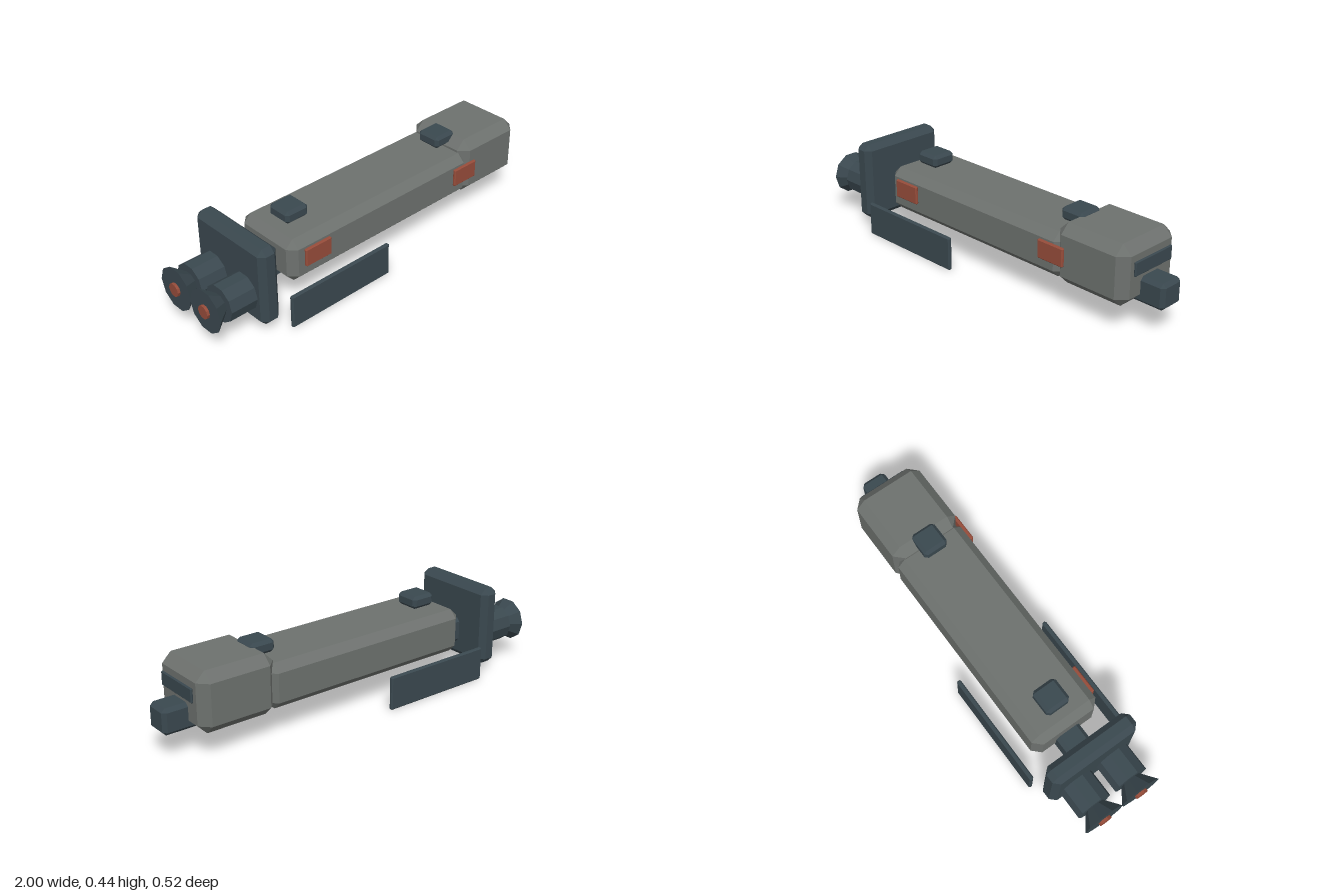
import * as THREE from 'three';
import { ConvexGeometry } from 'three/addons/geometries/ConvexGeometry.js';

const mat = (name, color) => {
  const m = new THREE.MeshStandardMaterial({ color, flatShading: true });
  m.name = name;
  return m;
};

// Box with all edges cut flat, given by its extents on each axis
function chamferBox([x0, x1], [y0, y1], [z0, z1], c) {
  const h = [(x1 - x0) / 2, (y1 - y0) / 2, (z1 - z0) / 2];
  const points = [];
  for (const sx of [-1, 1]) for (const sy of [-1, 1]) for (const sz of [-1, 1]) {
    for (let full = 0; full < 3; full++) {
      const p = [sx, sy, sz].map((s, i) => s * (h[i] - (i === full ? 0 : c)));
      points.push(new THREE.Vector3(...p));
    }
  }
  return new ConvexGeometry(points).translate((x0 + x1) / 2, (y0 + y1) / 2, (z0 + z1) / 2);
}

// Ten-sided drum along x, from rear radius to front radius
function drum(x0, x1, rRear, rFront, y, z) {
  return new THREE.CylinderGeometry(rRear, rFront, x1 - x0, 10)
    .rotateZ(Math.PI / 2).translate((x0 + x1) / 2, y, z);
}

export function createModel() {
  const model = new THREE.Group();
  model.name = 'spacecraft';
  const grey = mat('hull grey', 0x6d716e);
  const dark = mat('dark slate', 0x3a484f);
  const red = mat('rust red', 0x964c3a);

  const add = (name, geometry, material) => {
    const mesh = new THREE.Mesh(geometry, material);
    mesh.name = name;
    model.add(mesh);
  };

  // Hull, cabin and the keel running through them
  add('hull', chamferBox([-0.58, 0.535], [0.14, 0.355], [-0.178, 0.178], 0.038), grey);
  add('cabin', chamferBox([0.495, 0.88], [0.125, 0.41], [-0.178, 0.178], 0.045), grey);
  add('keel', chamferBox([-0.74, 0.998], [0.126, 0.25], [-0.063, 0.063], 0.017), dark);
  add('windshield', chamferBox([0.884, 0.896], [0.273, 0.34], [-0.12, 0.12], 0.004), dark);
  add('rearBulkhead', chamferBox([-0.78, -0.682], [0.05, 0.437], [-0.228, 0.228], 0.027), dark);

  // Roof boxes and red panels on the front side
  for (const x of [-0.44, 0.492]) {
    add('roofBox', chamferBox([x - 0.063, x + 0.063], [0.364, 0.426], [-0.063, 0.063], 0.015), dark);
    add('sidePanel', chamferBox([x - 0.073, x + 0.073], [0.223, 0.313], [0.18, 0.197], 0.005), red);
  }

  // Paired side fins and engines
  for (const s of [-1, 1]) {
    const z = s * 0.2475;
    add('sideFin', chamferBox([-0.65, -0.075], [0, 0.165], [z - 0.0105, z + 0.0105], 0.006), dark);
    add('engine', drum(-0.915, -0.76, 0.088, 0.088, 0.19, s * 0.102), dark);
    add('nozzle', drum(-0.985, -0.9, 0.105, 0.04, 0.19, s * 0.102), dark);
    add('engineGlow', drum(-0.998, -0.984, 0.032, 0.032, 0.19, s * 0.102), red);
  }
  return model;
}
